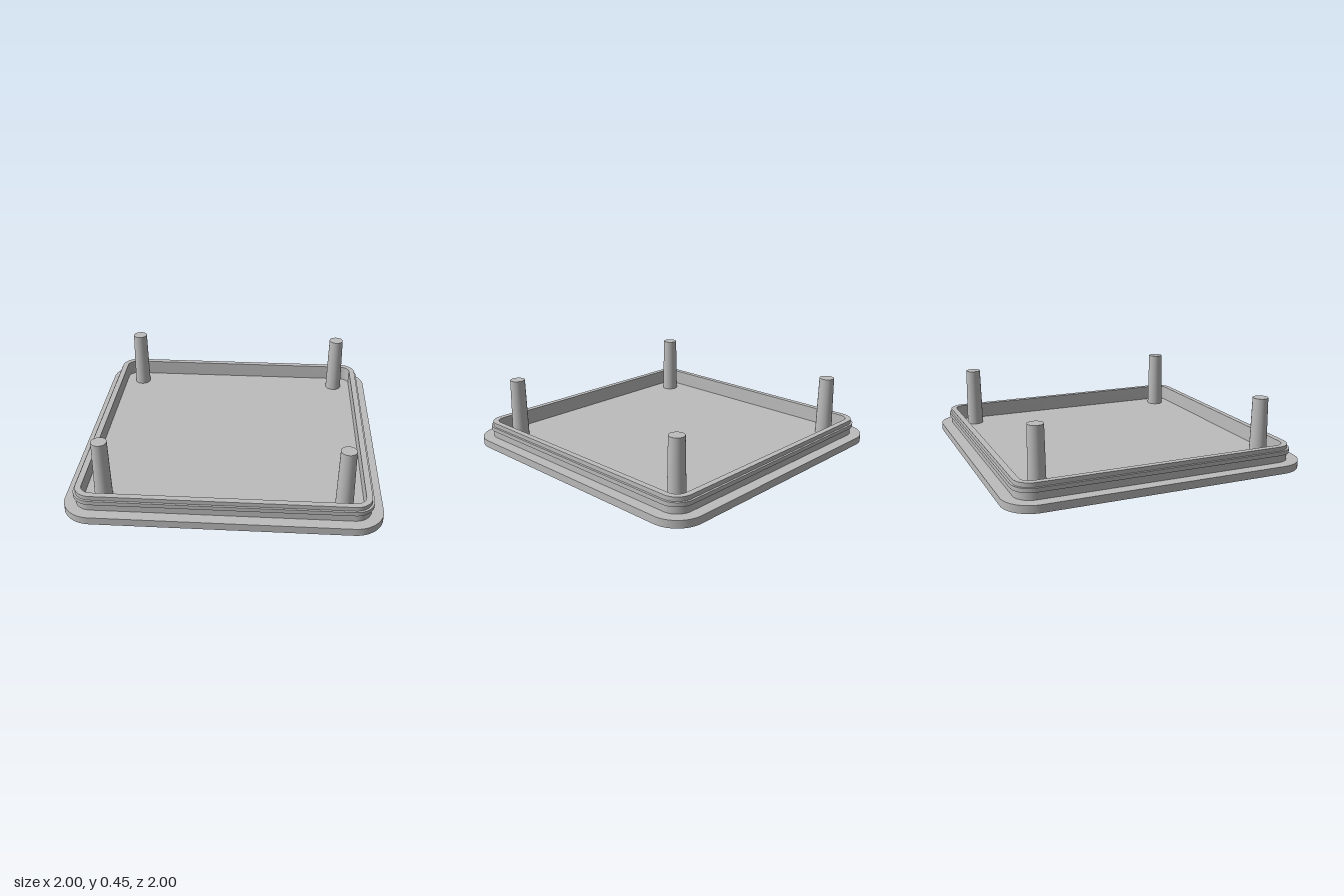
import * as THREE from 'three';
import { toCreasedNormals } from 'three/addons/utils/BufferGeometryUtils.js';

// Trace a centred rounded square on a Shape or Path
function roundedSquare(path, half, r) {
  const c = half - r;
  path.moveTo(c, -half);
  path.absarc(c, -c, r, -Math.PI / 2, 0);
  path.absarc(c, c, r, 0, Math.PI / 2);
  path.absarc(-c, c, r, Math.PI / 2, Math.PI);
  path.absarc(-c, -c, r, Math.PI, Math.PI * 1.5);
  path.closePath();
  return path;
}

// Upright slab from y0 to y1, optionally with a rounded square opening
function slab(name, material, outer, inner, y0, y1) {
  const shape = roundedSquare(new THREE.Shape(), ...outer);
  if (inner) shape.holes.push(roundedSquare(new THREE.Path(), ...inner));
  const geometry = new THREE.ExtrudeGeometry(shape, { depth: y1 - y0, bevelEnabled: false, curveSegments: 12 });
  geometry.rotateX(-Math.PI / 2).translate(0, y0, 0);
  const mesh = new THREE.Mesh(toCreasedNormals(geometry, 0.6), material);
  mesh.name = name;
  return mesh;
}

export function createModel() {
  const model = new THREE.Group();
  model.name = 'lid';
  const grey = new THREE.MeshStandardMaterial({ color: 0xbdbdbd });
  grey.name = 'light grey plastic';

  // Base plate, raised rim and the sealing ridge around it
  const wall = [0.924, 0.11];
  model.add(slab('basePlate', grey, [1, 0.19], null, 0, 0.05));
  model.add(slab('rimWall', grey, wall, [0.885, 0.07], 0.05, 0.155));
  model.add(slab('sealRidge', grey, [0.938, 0.124], wall, 0.1, 0.127));

  // Four slightly tapered corner posts
  const postGeometry = new THREE.CylinderGeometry(0.05, 0.057, 0.4, 32);
  for (const x of [-0.76, 0.76]) {
    for (const z of [-0.76, 0.76]) {
      const post = new THREE.Mesh(postGeometry, grey);
      post.name = `${z > 0 ? 'front' : 'back'}${x > 0 ? 'Left' : 'Right'}Post`;
      post.position.set(x, 0.25, z);
      model.add(post);
    }
  }
  return model;
}
